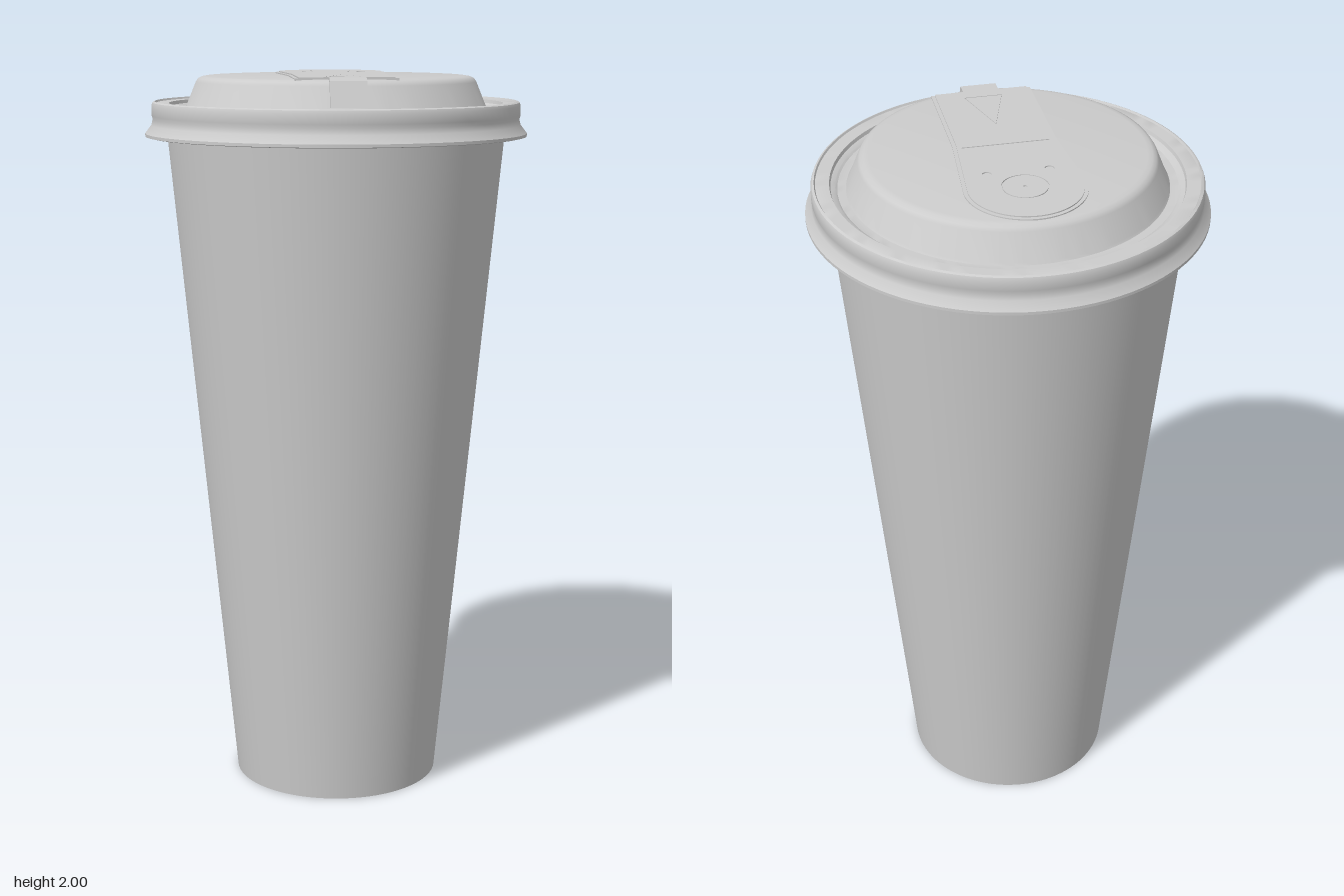
import * as THREE from 'three';
import { toCreasedNormals } from 'three/addons/utils/BufferGeometryUtils.js';

const grey = new THREE.MeshStandardMaterial({ color: 0xcccccc });
grey.name = 'light grey';

function mesh(name, geometry) {
  const m = new THREE.Mesh(geometry, grey);
  m.name = name;
  return m;
}

// Revolved part; the profile runs from the bottom outwards and up
function lathe(name, profile) {
  const points = profile.map(([r, y]) => new THREE.Vector2(r, y));
  return mesh(name, toCreasedNormals(new THREE.LatheGeometry(points, 96), 0.6));
}

// Flat plate lying in xz; a shape's y runs towards the back
function plate(name, shape, bottom, top) {
  const g = new THREE.ExtrudeGeometry(shape, { depth: top - bottom, bevelEnabled: false, curveSegments: 32 });
  g.rotateX(-Math.PI / 2).translate(0, bottom, 0);
  return mesh(name, g);
}

function circle(x, z, r) {
  return new THREE.Shape().absarc(x, -z, r, 0, Math.PI * 2);
}

function polygon(points) {
  return new THREE.Shape(points.map(([x, z]) => new THREE.Vector2(x, -z)));
}

// Keyhole-like outline of the drinking panel, inset by d
function panelOutline(d) {
  const s = new THREE.Shape();
  s.moveTo(-0.135 + d, -0.345);
  s.lineTo(0.135 - d, -0.345);
  s.lineTo(0.135 - d, -0.05);
  s.lineTo(0.155 - d, 0.2);
  s.absarc(0, 0.205, 0.155 - d, 0, Math.PI);
  s.lineTo(-0.135 + d, -0.05);
  s.closePath();
  return s;
}

export function createModel() {
  const model = new THREE.Group();
  model.name = 'lidded paper cup';

  // Tapered cup with a flat base
  model.add(lathe('cup', [[0, 0], [0.288, 0], [0.466, 1.86]]));

  // Lid: flared skirt, rolled rim, channel and raised dome
  model.add(lathe('lid', [
    [0.455, 1.85], [0.495, 1.85], [0.515, 1.83], [0.524, 1.832], [0.524, 1.84],
    [0.507, 1.862], [0.503, 1.878], [0.506, 1.888], [0.506, 1.915], [0.503, 1.923],
    [0.497, 1.926], [0.494, 1.921], [0.458, 1.921], [0.455, 1.912], [0.443, 1.908],
    [0.438, 1.904], [0.416, 1.904], [0.412, 1.91], [0.384, 1.978], [0.378, 1.987],
    [0.368, 1.992], [0.355, 1.994], [0, 1.994],
  ]));

  // Drinking panel: a low base, then a thin upper plate with fine cut lines
  model.add(plate('panelBase', panelOutline(0), 1.98, 1.997));
  const panel = panelOutline(0.01);
  const arrow = (s) => polygon([[0, 0.14 + s * 2], [0.052 - s, 0.31 - s], [-0.052 + s, 0.31 - s]]);
  panel.holes.push(
    circle(-0.08, -0.12, 0.012), circle(0.08, -0.12, 0.012),
    circle(0, -0.2, 0.06), arrow(0),
    polygon([[-0.115, 0.028], [0.115, 0.028], [0.115, 0.032], [-0.115, 0.032]]),
  );
  model.add(plate('panel', panel, 1.997, 2));

  // Sip disc with a small centre hole, and the arrow mark
  const disc = circle(0, -0.2, 0.057);
  disc.holes.push(circle(0, -0.2, 0.005));
  model.add(plate('sipDisc', disc, 1.997, 2));
  model.add(plate('arrowMark', arrow(0.003), 1.997, 2));

  // Pull tab folded down over the front of the dome
  const side = new THREE.Shape([
    [0.34, 1.98], [0.37, 1.98], [0.4, 1.925], [0.415, 1.925], [0.387, 1.992], [0.38, 2], [0.34, 2],
  ].map(([z, y]) => new THREE.Vector2(z, y)));
  const tab = new THREE.ExtrudeGeometry(side, { depth: 0.096, bevelEnabled: false });
  tab.rotateY(-Math.PI / 2).translate(0.048, 0, 0);
  model.add(mesh('pullTab', tab));

  return model;
}
